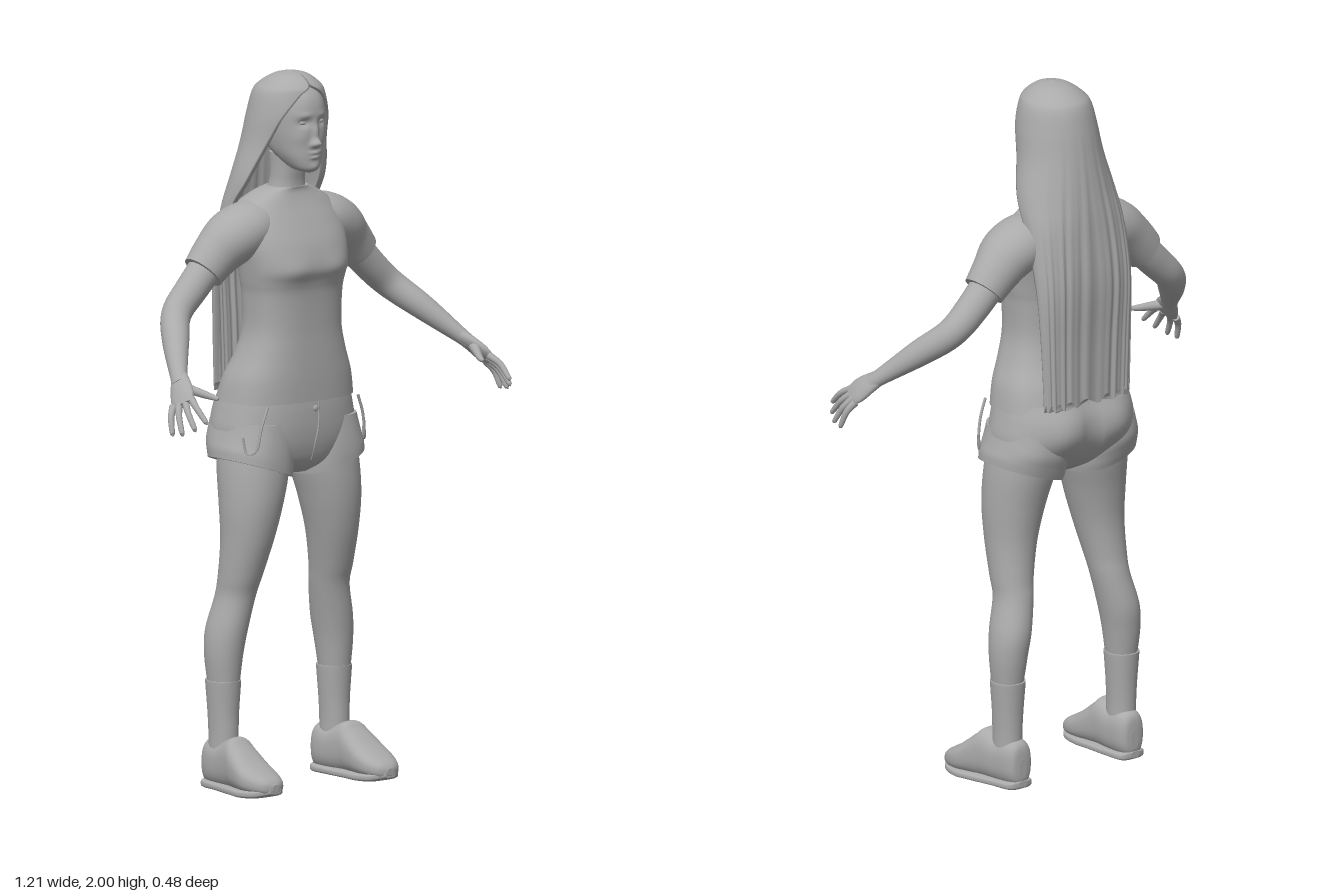
import * as THREE from 'three';

const grey = new THREE.MeshStandardMaterial({ color: 0xaaaaaa });
grey.name = 'grey';

// Catmull-Rom interpolation of rows of numbers
function smooth(rows, per = 6) {
  const out = [], last = rows.length - 1;
  for (let i = 0; i < last; i++) {
    const [a, b, c, d] = [rows[Math.max(i - 1, 0)], rows[i], rows[i + 1], rows[Math.min(i + 2, last)]];
    for (let k = 0; k < per; k++) {
      const t = k / per;
      out.push(b.map((_, j) => 0.5 * (2 * b[j] + (c[j] - a[j]) * t + (2 * a[j] - 5 * b[j] + 4 * c[j] - d[j]) * t * t
        + (3 * b[j] - a[j] - 3 * c[j] + d[j]) * t * t * t)));
    }
  }
  out.push(rows[last]);
  return out;
}

// Skin over closed rings of points, capped at both ends, facing outward
function skin(rings) {
  const pos = [], idx = [], n = rings[0].length;
  rings.forEach(r => r.forEach(p => pos.push(p.x, p.y, p.z)));
  for (let i = 0; i < rings.length - 1; i++) for (let j = 0; j < n; j++) {
    const a = i * n + j, b = i * n + (j + 1) % n;
    idx.push(a, b, b + n, a, b + n, a + n);
  }
  [rings[0], rings[rings.length - 1]].forEach((r, e) => {
    const base = pos.length / 3, c = new THREE.Vector3();
    r.forEach(p => { pos.push(p.x, p.y, p.z); c.addScaledVector(p, 1 / n); });
    pos.push(c.x, c.y, c.z);
    for (let j = 0; j < n; j++) {
      const k = base + (j + 1) % n;
      e ? idx.push(base + j, k, base + n) : idx.push(k, base + j, base + n);
    }
  });
  let vol = 0;
  const v = i => new THREE.Vector3(pos[3 * i], pos[3 * i + 1], pos[3 * i + 2]);
  for (let i = 0; i < idx.length; i += 3) vol += v(idx[i]).dot(v(idx[i + 1]).cross(v(idx[i + 2])));
  if (vol < 0) idx.reverse();
  const g = new THREE.BufferGeometry();
  g.setAttribute('position', new THREE.Float32BufferAttribute(pos, 3));
  g.setIndex(idx);
  g.computeVertexNormals();
  return g;
}

const sup = (v, n) => Math.sign(v) * Math.pow(Math.abs(v), 2 / n);

// Rows: [height, centre x, half width, back z, front z]; with axis 'z': [z, centre x, half width, bottom y, top y]
function loft(rows, { n = 2.3, seg = 40, per = 6, axis = 'y', deform } = {}) {
  return skin(smooth(rows, per).map(([s, cx, w, lo, hi]) => Array.from({ length: seg }, (_, j) => {
    const a = j / seg * Math.PI * 2;
    const x = cx + w * sup(Math.sin(a), n), q = (lo + hi) / 2 + (hi - lo) / 2 * sup(Math.cos(a), n);
    const p = axis === 'y' ? new THREE.Vector3(x, s, q) : new THREE.Vector3(x, q, s);
    if (deform) deform(p, Math.cos(a));
    return p;
  })));
}

// Rows: [x, y, z, radius across, radius in depth] along a limb
function limb(rows, seg = 20, per = 6) {
  const pts = smooth(rows, per), at = i => new THREE.Vector3(...pts[i].slice(0, 3));
  return skin(pts.map((p, i) => {
    const t = at(Math.min(i + 1, pts.length - 1)).sub(at(Math.max(i - 1, 0))).normalize();
    const u = t.clone().cross(new THREE.Vector3(0, 0, 1)).normalize(), w = u.clone().cross(t);
    return Array.from({ length: seg }, (_, j) => {
      const a = j / seg * Math.PI * 2;
      return at(i).addScaledVector(u, p[3] * Math.cos(a)).addScaledVector(w, p[4] * Math.sin(a));
    });
  }));
}

// Soft bumps [x, y, width, height, amount] pushed along z on the front (1) or back (-1)
const bumps = (list, side) => (p, c) => {
  const k = Math.min(1, Math.max(0, c * side * 2));
  let d = 0;
  for (const [x, y, sx, sy, h] of list) d += h * Math.exp(-(((p.x - x) / sx) ** 2) - ((p.y - y) / sy) ** 2);
  p.z += d * side * k;
};
const both = (x, ...r) => [[x, ...r], [-x, ...r]];

function hairGeometry() {
  // [height, centre z, half width, half depth, face opening in degrees, squareness]
  const rows = [[2.0, -.045, .003, .003, 0, 2], [1.99, -.045, .045, .05, 0, 2], [1.965, -.05, .08, .09, 3, 2],
    [1.94, -.055, .098, .105, 24, 2], [1.88, -.06, .112, .116, 48, 2], [1.8, -.075, .125, .115, 62, 2],
    [1.7, -.095, .15, .11, 75, 2.1], [1.6, -.135, .16, .082, 85, 2.4], [1.45, -.17, .162, .058, 90, 2.7],
    [1.28, -.185, .156, .036, 90, 2.7], [1.11, -.19, .15, .027, 90, 2.7]];
  const seg = 72;
  return skin(smooth(rows, 7).map(([y, cz, rx, rz, open, n]) => {
    const o = Math.max(open, 0) * Math.PI / 180, low = THREE.MathUtils.clamp((1.9 - y) / .4, 0, 1);
    const arc = th => Array.from({ length: seg }, (_, j) => {
      const a = o + (Math.PI - o) * 2 * j / (seg - 1);
      const groove = .0025 * low * (Math.sin(a * 23) + Math.sin(a * 37 + 1));
      const hem = .012 * Math.max(0, (1.3 - y) / .2) * Math.sin(a * 19);
      return new THREE.Vector3((rx - th) * sup(Math.sin(a), n), y + hem, cz + (rz - th + groove) * sup(Math.cos(a), n));
    });
    return [...arc(0), ...arc(Math.min(.016, rx * .3)).reverse()];
  }));
}

export function createModel() {
  const root = new THREE.Group();
  const add = (name, g) => {
    const m = new THREE.Mesh(g, grey);
    m.name = name;
    root.add(m);
  };
  const pair = (name, g) => {
    add('left' + name, g);
    const r = g.clone().scale(-1, 1, 1);
    const index = Array.from(r.index.array).reverse();
    r.setIndex(index);
    r.computeVertexNormals();
    add('right' + name, r);
  };
  const line = (pts, r) => new THREE.TubeGeometry(new THREE.CatmullRomCurve3(pts.map(p => new THREE.Vector3(...p))), 24, r, 6);

  // Head, face and neck
  add('head', loft([[1.724, 0, .012, .01, .042], [1.735, 0, .036, -.03, .054], [1.765, 0, .056, -.08, .058],
    [1.8, 0, .068, -.12, .058], [1.85, 0, .076, -.14, .058], [1.9, 0, .077, -.145, .058], [1.94, 0, .068, -.135, .044],
    [1.972, 0, .04, -.1, .01], [1.982, 0, .005, -.05, -.04]], {
    seg: 96, per: 10, deform: bumps([[0, 1.808, .010, .011, .022], [0, 1.837, .008, .026, .011], ...both(.012, 1.804, .007, .007, .007),
      ...both(.031, 1.865, .017, .011, -.010), ...both(.032, 1.886, .02, .007, .003), ...both(.045, 1.825, .02, .02, .003),
      [0, 1.781, .017, .005, .007], [0, 1.768, .014, .005, .007], [0, 1.74, .016, .012, .005]], 1)
  }));
  pair('Eye', new THREE.SphereGeometry(.012, 20, 12).scale(1, .5, .5).translate(.031, 1.865, .042));
  add('neck', loft([[1.62, 0, .065, -.13, -.01], [1.68, 0, .05, -.11, -.015], [1.72, 0, .047, -.105, -.01], [1.77, 0, .048, -.11, 0]]));
  add('hair', hairGeometry());

  // Shirt
  add('shirt', loft([[1.085, 0, .206, -.205, .06], [1.15, 0, .193, -.185, .06], [1.22, 0, .165, -.155, .058],
    [1.29, 0, .148, -.14, .056], [1.38, 0, .15, -.14, .058], [1.42, 0, .156, -.143, .064], [1.46, 0, .162, -.15, .074],
    [1.52, 0, .17, -.16, .06], [1.58, 0, .17, -.165, .03], [1.63, 0, .145, -.16, .002], [1.662, 0, .095, -.135, -.012],
    [1.677, 0, .058, -.115, -.012]], { n: 2.6, seg: 64, deform: bumps(both(.075, 1.455, .05, .035, .007), 1) }));
  pair('Sleeve', limb([[.06, 1.59, -.08, .055, .07], [.13, 1.57, -.077, .074, .088], [.19, 1.543, -.08, .076, .084],
    [.24, 1.502, -.087, .068, .067], [.283, 1.458, -.09, .06, .058]], 32));

  // Arms and hands
  pair('Arm', limb([[.23, 1.51, -.09, .05, .05], [.32, 1.42, -.09, .046, .046], [.39, 1.355, -.078, .042, .042],
    [.45, 1.292, -.012, .036, .038], [.515, 1.215, .075, .022, .025], [.53, 1.195, .098, .019, .026]], 24));
  pair('Palm', limb([[.515, 1.213, .078, .018, .024], [.535, 1.188, .107, .017, .034], [.551, 1.165, .132, .014, .038],
    [.563, 1.148, .15, .008, .032]], 20));
  const tips = [[.555, 1.11, .235], [.576, 1.09, .212], [.594, 1.076, .18], [.6, 1.072, .146]];
  tips.forEach(([x, y, z], i) => {
    const bx = .545 + .009 * i, by = 1.165 - .008 * i, bz = .162 - .015 * i;
    pair('Finger' + (i + 1), limb([[bx, by, bz, .011, .011],
      [(bx + x) / 2 + .006, (by + y) / 2 + .006, (bz + z) / 2, .009, .009],
      [x, y, z, .007, .007], [x + .001, y - .003, z + .003, .002, .002]], 10, 4));
  });
  pair('Thumb', limb([[.53, 1.19, .115, .014, .016], [.508, 1.177, .155, .012, .012], [.492, 1.168, .185, .009, .009],
    [.485, 1.163, .204, .006, .006], [.484, 1.162, .207, .002, .002]], 10, 4));

  // Shorts
  add('shorts', loft([[1.11, 0, .197, -.2, .052], [1.06, 0, .21, -.215, .057], [1, 0, .22, -.215, .057], [.95, 0, .2, -.195, .05],
    [.91, 0, .13, -.16, .035], [.88, 0, .04, -.11, 0]], {
    n: 2.5, seg: 64, deform: bumps([...both(.095, 1.03, .07, .07, .022), [0, 1, .014, .12, -.012]], -1)
  }));
  const slope = p => { p.y += (p.x - .13) * .32 * THREE.MathUtils.clamp((1.02 - p.y) / .1, 0, 1); };
  pair('ShortsLeg', loft([[1.03, .12, .095, -.2, .045], [.97, .123, .104, -.205, .053], [.93, .128, .107, -.195, .056],
    [.9, .131, .106, -.185, .056]], { n: 2.3, deform: slope }));
  pair('Pocket', line([[.165, 1.085, .047], [.185, 1.03, .045], [.2, .96, .035], [.213, .955, .015], [.222, 1.0, .008]], .004));
  add('fly', line([[.012, 1.085, .058], [.012, 1.02, .059], [.004, .97, .054], [0, .92, .04]], .003));
  add('button', new THREE.SphereGeometry(.009, 16, 10).scale(1, 1, .5).translate(0, 1.065, .06));

  // Legs and socks
  pair('Leg', loft([[1, .12, .09, -.17, .035], [.9, .128, .096, -.16, .045], [.8, .143, .085, -.14, .043],
    [.7, .155, .07, -.128, .026], [.6, .166, .058, -.132, -.003], [.54, .172, .053, -.142, -.022],
    [.45, .192, .055, -.157, -.032], [.38, .201, .051, -.153, -.04], [.3, .203, .042, -.142, -.048]], { n: 2.1 }));
  pair('Sock', loft([[.308, .203, .046, -.149, -.044], [.295, .203, .046, -.148, -.045], [.22, .203, .041, -.142, -.05],
    [.16, .203, .038, -.14, -.05], [.11, .203, .038, -.14, -.05]], { n: 2.1 }));

  // Shoes
  pair('Shoe', loft([[-.16, .2, .012, .035, .09], [-.154, .2, .032, .018, .128], [-.13, .2, .044, .011, .143], [-.08, .203, .048, .01, .14],
    [-.03, .208, .052, .01, .156], [0, .211, .057, .01, .136], [.05, .214, .062, .009, .098], [.09, .213, .056, .01, .075],
    [.122, .211, .038, .013, .057], [.135, .21, .012, .022, .042]], { n: 2.5, axis: 'z' }));
  pair('Sole', loft([[-.161, .2, .014, .01, .028], [-.145, .2, .042, .003, .028], [-.08, .203, .051, .002, .026],
    [0, .211, .061, .001, .026], [.05, .214, .065, 0, .026], [.1, .212, .054, .004, .028], [.134, .21, .018, .016, .034]],
    { n: 3.5, axis: 'z' }));

  return root;
}
